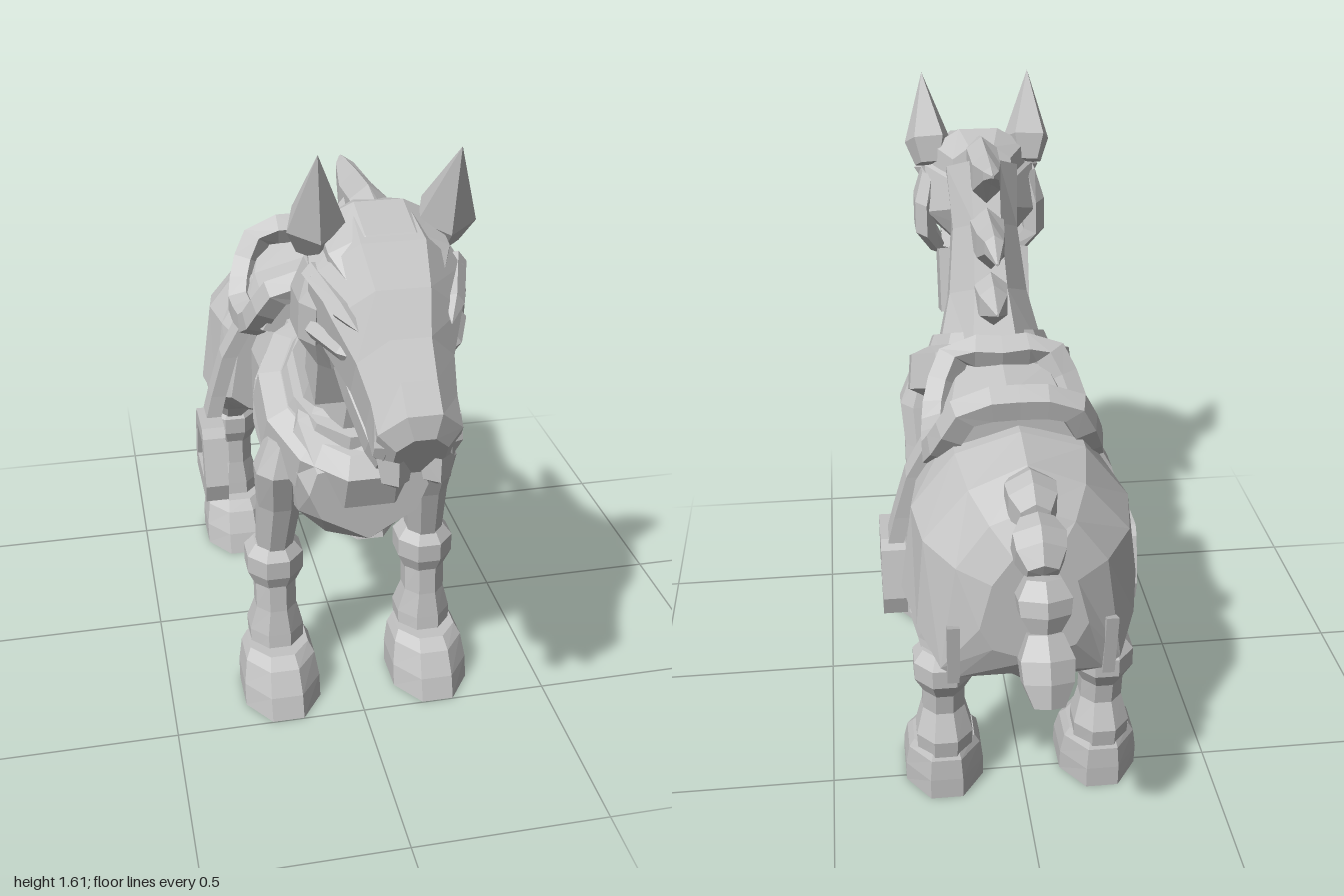
import * as THREE from 'three';

const V = (x, y, z) => new THREE.Vector3(x, y, z);

// Skin closed rings of points, cap both ends, and face outward
function loft(rings) {
  const n = rings[0].length, pos = [], idx = [];
  rings.forEach(r => r.forEach(p => pos.push(p.x, p.y, p.z)));
  for (let k = 0; k < rings.length - 1; k++) {
    for (let i = 0; i < n; i++) {
      const a = k * n + i, b = k * n + (i + 1) % n;
      idx.push(a, b, b + n, a, b + n, a + n);
    }
  }
  [0, rings.length - 1].forEach((k, end) => {
    const c = rings[k].reduce((s, p) => s.add(p), V(0, 0, 0)).divideScalar(n);
    const ci = pos.length / 3;
    pos.push(c.x, c.y, c.z);
    for (let i = 0; i < n; i++) {
      const a = k * n + i, b = k * n + (i + 1) % n;
      if (end) idx.push(ci, a, b); else idx.push(ci, b, a);
    }
  });
  const P = i => V(pos[3 * i], pos[3 * i + 1], pos[3 * i + 2]);
  let volume = 0;
  for (let i = 0; i < idx.length; i += 3) volume += P(idx[i]).dot(P(idx[i + 1]).cross(P(idx[i + 2])));
  if (volume < 0) idx.reverse();
  const g = new THREE.BufferGeometry();
  g.setAttribute('position', new THREE.Float32BufferAttribute(pos, 3));
  g.setIndex(idx);
  return g;
}

// Sections [x, y, z, halfWidth, halfDepth]; tilt 0 = upright ring, 90 = level ring
function ovals(sections, tilt, sides = 8) {
  const t = THREE.MathUtils.degToRad(tilt);
  return loft(sections.map(([x, y, z, w, h]) => Array.from({ length: sides }, (_, i) => {
    const a = (i + 0.5) / sides * Math.PI * 2, s = Math.sin(a) * h;
    return V(x + Math.cos(a) * w, y + s * Math.cos(t), z + s * Math.sin(t));
  })));
}

// Sections [z, half outline from top to bottom], mirrored across x
function mirrored(sections) {
  return loft(sections.map(([z, half]) => {
    const right = half.map(([x, y]) => V(x, y, z));
    const left = half.slice(1, -1).reverse().map(([x, y]) => V(-x, y, z));
    return [...right, ...left];
  }));
}

// Lathed piece running from a to b; profile is [radius, fraction along]
function spindle(a, b, profile, sides = 6) {
  const dir = b.clone().sub(a), len = dir.length();
  const g = new THREE.LatheGeometry(profile.map(([r, f]) => new THREE.Vector2(r, f * len)), sides);
  g.applyQuaternion(new THREE.Quaternion().setFromUnitVectors(V(0, 1, 0), dir.normalize()));
  return g.translate(a.x, a.y, a.z);
}

// Side plate from [z, y] outlines, extruded across x
function plate(points, x, depth, hole) {
  const toV2 = p => new THREE.Vector2(p[0], p[1]);
  const shape = new THREE.Shape(points.map(toV2));
  if (hole) shape.holes.push(new THREE.Path(hole.map(toV2)));
  const g = new THREE.ExtrudeGeometry(shape, { depth, bevelEnabled: false });
  return g.rotateY(-Math.PI / 2).translate(x + depth / 2, 0, 0);
}

function tube(points, radius, sides, closed = false) {
  const curve = new THREE.CatmullRomCurve3(points, closed, 'catmullrom', 0.3);
  return new THREE.TubeGeometry(curve, closed ? 24 : 8, radius, sides, closed);
}

export function createModel() {
  const model = new THREE.Group();
  model.name = 'horse';
  const bone = new THREE.MeshStandardMaterial({ color: 0xc4c4c4 });
  bone.name = 'pale grey';
  const add = (name, geometry) => {
    const g = geometry.index ? geometry.toNonIndexed() : geometry;
    g.computeVertexNormals();
    const mesh = new THREE.Mesh(g, bone);
    mesh.name = name;
    model.add(mesh);
    return mesh;
  };

  // Trunk
  add('barrel', mirrored([
    [-0.28, [[0, 0.93], [0.12, 0.9], [0.18, 0.75], [0.18, 0.6], [0.1, 0.5], [0, 0.47]]],
    [0.0, [[0, 0.96], [0.1, 0.92], [0.17, 0.75], [0.17, 0.58], [0.11, 0.5], [0, 0.47]]],
    [0.25, [[0, 0.97], [0.12, 0.92], [0.18, 0.75], [0.18, 0.58], [0.12, 0.49], [0, 0.45]]],
    [0.42, [[0, 0.92], [0.16, 0.86], [0.19, 0.77], [0.16, 0.6], [0.09, 0.53], [0, 0.5]]],
    [0.52, [[0, 0.78], [0.13, 0.76], [0.15, 0.7], [0.12, 0.63], [0.05, 0.59], [0, 0.56]]],
  ]));
  add('rump', mirrored([
    [-0.23, [[0, 0.95], [0.14, 0.92], [0.21, 0.78], [0.24, 0.6], [0.19, 0.56], [0, 0.5]]],
    [-0.32, [[0, 0.98], [0.16, 0.94], [0.25, 0.8], [0.28, 0.56], [0.22, 0.52], [0, 0.47]]],
    [-0.45, [[0, 0.99], [0.16, 0.94], [0.27, 0.8], [0.3, 0.57], [0.24, 0.53], [0, 0.39]]],
    [-0.58, [[0, 0.97], [0.14, 0.91], [0.25, 0.78], [0.27, 0.54], [0.21, 0.49], [0, 0.35]]],
    [-0.68, [[0, 0.91], [0.1, 0.87], [0.18, 0.76], [0.22, 0.48], [0.18, 0.45], [0, 0.45]]],
    [-0.73, [[0, 0.82], [0.05, 0.81], [0.1, 0.74], [0.13, 0.62], [0.1, 0.56], [0, 0.52]]],
  ]));

  // Neck, collar and throat block
  add('neck', ovals([[0, 0.85, 0.27, 0.17, 0.22], [0, 1.03, 0.35, 0.12, 0.17],
    [0, 1.2, 0.42, 0.1, 0.14], [0, 1.36, 0.5, 0.11, 0.13]], 117));
  add('collar', ovals([[0, 0.76, 0.25, 0.2, 0.25], [0, 0.78, 0.26, 0.245, 0.3],
    [0, 0.87, 0.3, 0.235, 0.29], [0, 0.89, 0.31, 0.18, 0.23]], 115, 12));
  add('collarLining', ovals([[0, 0.85, 0.29, 0.195, 0.23], [0, 0.92, 0.32, 0.165, 0.2]], 115, 12));
  const throat = add('throatBlock', new THREE.BoxGeometry(0.26, 0.18, 0.13));
  throat.position.set(0, 1.04, 0.455);
  throat.rotation.x = 0.3;

  // Head
  add('skull', ovals([[0, 1.31, 0.42, 0.1, 0.11], [0, 1.3, 0.52, 0.17, 0.18],
    [0, 1.275, 0.62, 0.185, 0.18], [0, 1.22, 0.72, 0.155, 0.16], [0, 1.155, 0.8, 0.115, 0.14],
    [0, 1.105, 0.88, 0.1, 0.125], [0, 1.065, 0.94, 0.098, 0.11], [0, 1.045, 0.965, 0.06, 0.07]], 30));
  add('lowerJaw', ovals([[0, 1.14, 0.55, 0.13, 0.06], [0, 1.06, 0.7, 0.115, 0.06],
    [0, 0.99, 0.81, 0.09, 0.06], [0, 0.96, 0.84, 0.07, 0.04]], 40, 6));
  add('crown', ovals([[0, 1.38, 0.45, 0.09, 0.06], [0, 1.39, 0.54, 0.145, 0.08],
    [0, 1.36, 0.66, 0.145, 0.075], [0, 1.31, 0.75, 0.1, 0.05]], 15));

  // Mane spikes, pointing back
  [
    [[0, 1.4, 0.62, 0.03, 0.03], [0, 1.4, 0.46, 0.05, 0.065], [0, 1.385, 0.33, 0.045, 0.075], [0, 1.425, 0.21, 0.025, 0.025], [0, 1.437, 0.16, 0.004, 0.006]],
    [[0, 1.23, 0.42, 0.04, 0.06], [0, 1.23, 0.32, 0.055, 0.07], [0, 1.225, 0.22, 0.045, 0.07], [0, 1.25, 0.13, 0.03, 0.035], [0, 1.23, 0.05, 0.004, 0.004]],
    [[0, 1.07, 0.32, 0.04, 0.06], [0, 1.075, 0.22, 0.055, 0.07], [0, 1.075, 0.15, 0.045, 0.06], [0, 1.085, 0.05, 0.004, 0.004]],
  ].forEach(s => add('maneSpike', ovals(s, 0, 6)));

  // Tail bones
  const knuckle = [[0, 0], [0.045, 0.02], [0.07, 0.35], [0.065, 0.65], [0.04, 0.98], [0, 1]];
  const tail = [V(0, 0.92, -0.57), V(0, 0.91, -0.73), V(0, 0.84, -0.85), V(0, 0.72, -0.89), V(0, 0.57, -0.97)];
  for (let i = 0; i < 4; i++) add('tailBone', spindle(tail[i], tail[i + 1], knuckle));

  // Saddle
  const rim = [[0, 1.02, -0.04], [0.12, 1.02, -0.03], [0.17, 0.93, -0.08], [0.185, 0.87, -0.15], [0.195, 0.87, -0.3],
    [0.17, 0.95, -0.38], [0.12, 1.04, -0.41], [0, 1.05, -0.41]];
  const rimLoop = [...rim, ...rim.slice(1, -1).reverse().map(([x, y, z]) => [-x, y, z])];
  add('saddleRim', tube(rimLoop.map(p => V(...p)), 0.045, 5, true));
  add('saddleSeat', mirrored([
    [-0.05, [[0, 1.0], [0.12, 0.98], [0.17, 0.89], [0, 0.85]]],
    [-0.2, [[0, 0.97], [0.15, 0.935], [0.2, 0.86], [0, 0.84]]],
    [-0.32, [[0, 0.99], [0.15, 0.95], [0.2, 0.87], [0, 0.84]]],
    [-0.41, [[0, 1.03], [0.12, 1.01], [0.17, 0.92], [0, 0.85]]],
  ]));

  for (const s of [-1, 1]) {
    // Ears
    add('ear', spindle(V(s * 0.142, 1.36, 0.55), V(s * 0.155, 1.605, 0.663),
      [[0, 0], [0.045, 0.02], [0.07, 0.28], [0, 1]], 5));

    // Cheek, brow, eye socket edge and muzzle details
    add('cheek', ovals([[s * 0.14, 1.34, 0.58, 0.03, 0.06], [s * 0.16, 1.26, 0.57, 0.035, 0.1],
      [s * 0.16, 1.17, 0.56, 0.035, 0.1], [s * 0.12, 1.1, 0.58, 0.03, 0.06]], 90, 6));
    add('brow', spindle(V(s * 0.165, 1.34, 0.6), V(s * 0.1, 1.27, 0.82),
      [[0, 0], [0.028, 0.1], [0.026, 0.7], [0, 1]], 5));
    add('eyeRim', spindle(V(s * 0.17, 1.21, 0.62), V(s * 0.105, 1.2, 0.8),
      [[0, 0], [0.024, 0.15], [0.022, 0.8], [0, 1]], 5));
    add('nostril', spindle(V(s * 0.07, 1.14, 0.92), V(s * 0.075, 1.03, 0.945),
      [[0, 0], [0.025, 0.2], [0.025, 0.7], [0, 1]], 5));
    add('tooth', spindle(V(s * 0.045, 1.03, 0.93), V(s * 0.045, 0.96, 0.94), [[0.04, 0], [0.03, 0.8], [0, 1]], 4));

    // Ribs
    for (let i = 0; i < 4; i++) {
      const z = 0.22 - i * 0.09;
      add('rib', tube([V(s * 0.135, 0.8, z - 0.02), V(s * 0.17, 0.73, z), V(s * 0.175, 0.62, z + 0.01),
        V(s * 0.15, 0.52, z + 0.03)], 0.033, 5));
    }

    // Rear corner of the rump cover
    add('hemFlap', plate([[-0.56, 0.55], [-0.72, 0.62], [-0.69, 0.44], [-0.62, 0.47]], s * 0.19, 0.03));

    // Stirrup and its strap
    add('stirrupStrap', ovals([[s * 0.19, 0.87, -0.2, 0.03, 0.055], [s * 0.25, 0.76, -0.2, 0.03, 0.05],
      [s * 0.285, 0.64, -0.2, 0.03, 0.05], [s * 0.31, 0.54, -0.2, 0.03, 0.055]], 90, 4));
    add('stirrup', plate(
      [[-0.1, 0.575], [-0.23, 0.575], [-0.25, 0.55], [-0.285, 0.42], [-0.27, 0.365], [-0.05, 0.365], [-0.035, 0.42], [-0.08, 0.55]],
      s * 0.312, 0.065, [[-0.115, 0.53], [-0.09, 0.42], [-0.24, 0.42], [-0.215, 0.53]]));

    // Legs: shared lower part, different upper bones
    const x = s * 0.205;
    add('frontUpperLeg', ovals([[s * 0.18, 0.79, 0.36, 0.05, 0.05], [s * 0.2, 0.7, 0.36, 0.065, 0.075],
      [s * 0.195, 0.58, 0.325, 0.06, 0.065], [x, 0.42, 0.29, 0.05, 0.055]], 90));
    add('hindUpperLeg', ovals([[s * 0.19, 0.66, -0.42, 0.09, 0.1], [x, 0.52, -0.45, 0.085, 0.11],
      [x, 0.46, -0.49, 0.065, 0.075], [x, 0.4, -0.52, 0.05, 0.06]], 90));
    for (const dz of [0, -0.81]) {
      add('knee', ovals([[x, 0.44, 0.285 + dz, 0.055, 0.06], [x, 0.41, 0.285 + dz, 0.08, 0.087],
        [x, 0.36, 0.285 + dz, 0.08, 0.087], [x, 0.31, 0.29 + dz, 0.055, 0.06]], 90));
      add('shin', ovals([[x, 0.34, 0.29 + dz, 0.058, 0.065], [x, 0.25, 0.3 + dz, 0.058, 0.062],
        [x, 0.18, 0.29 + dz, 0.078, 0.085], [x, 0.11, 0.3 + dz, 0.075, 0.085]], 90));
      add('hoof', ovals([[x, 0.145, 0.32 + dz, 0.085, 0.1], [x, 0.12, 0.33 + dz, 0.1, 0.125],
        [x, 0.06, 0.345 + dz, 0.11, 0.145], [x, 0, 0.355 + dz, 0.11, 0.155]], 90));
    }
  }
  return model;
}
